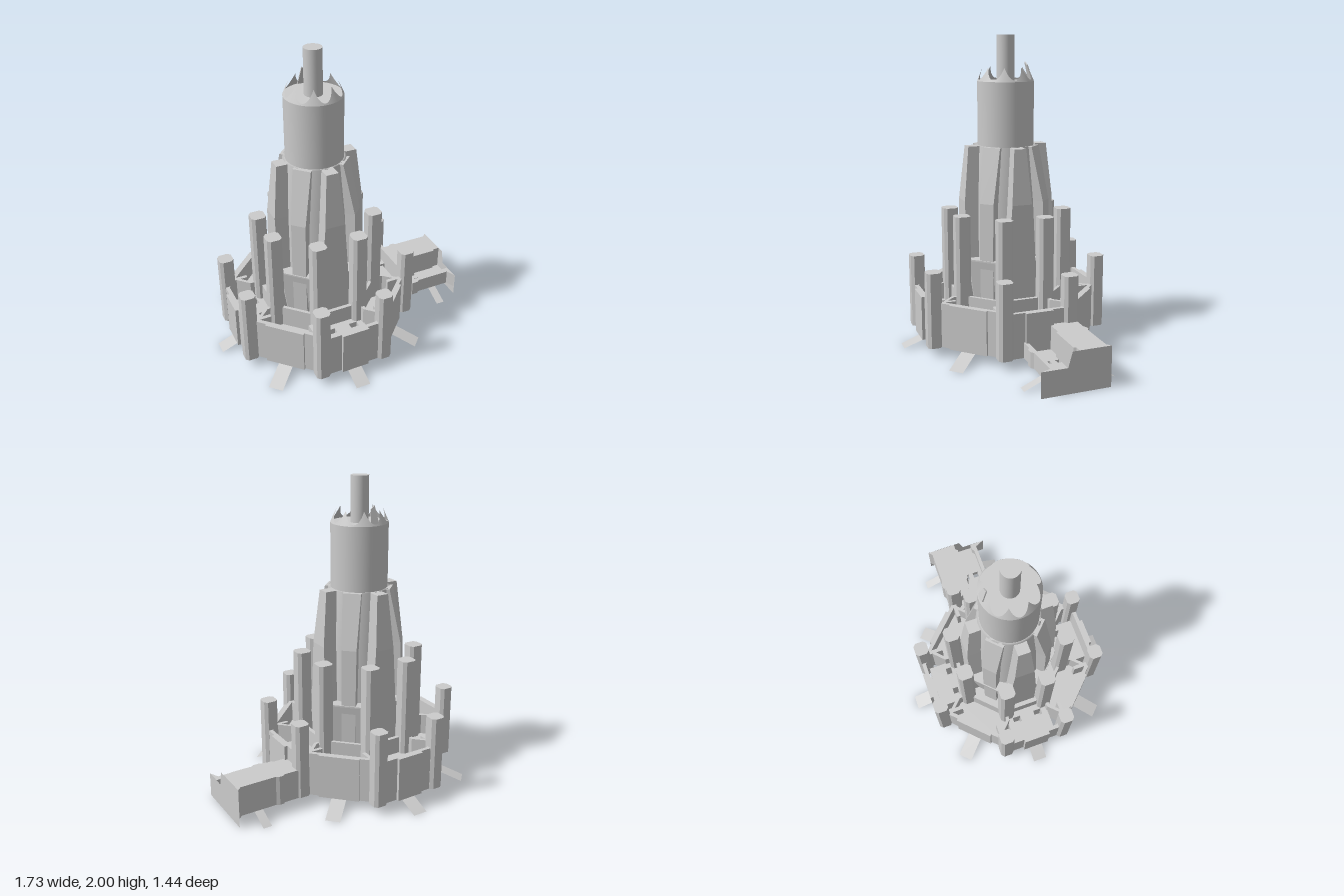
import * as THREE from 'three';

const mat = new THREE.MeshStandardMaterial({ color: 0xcccccc, side: THREE.DoubleSide });
const flat = new THREE.MeshStandardMaterial({ color: 0xcccccc, side: THREE.DoubleSide, flatShading: true });
const rad = THREE.MathUtils.degToRad;

function add(parent, name, geo, x = 0, y = 0, z = 0, m = flat) {
  const mesh = new THREE.Mesh(geo, m);
  mesh.name = name;
  mesh.position.set(x, y, z);
  parent.add(mesh);
  return mesh;
}

const toPoints = pts => pts.map(p => new THREE.Vector2(p[0], p[1]));

// Plan outline (x, -z) raised from y0 to y1, with optional holes
function prism(outline, y0, y1, holes = []) {
  const s = new THREE.Shape(toPoints(outline));
  holes.forEach(h => s.holes.push(new THREE.Path(toPoints(h))));
  const g = new THREE.ExtrudeGeometry(s, { depth: y1 - y0, bevelEnabled: false });
  return g.rotateX(-Math.PI / 2).translate(0, y0, 0);
}

const rect = (x0, x1, y0, y1) => [[x0, y0], [x1, y0], [x1, y1], [x0, y1]];

// Square with chamfered corners
function chamfered(h, c) {
  return [[h, -c], [h, c], [c, h], [-c, h], [-h, c], [-h, -c], [-c, -h], [c, -h]];
}

// Octagon with flats facing the axes
function octagon(apothem) {
  const t = apothem * Math.tan(Math.PI / 8);
  return chamfered(apothem, t);
}

// Radial fin along +z lofted through [y, half width, reach] sections
function finGeometry(levels, inner) {
  const pos = [], idx = [];
  for (const [y, half, out] of levels)
    pos.push(-half, y, inner, -half, y, out, half, y, out, half, y, inner);
  const last = (levels.length - 1) * 4;
  for (let l = 0; l < last; l += 4) for (let i = 0; i < 4; i++) {
    const a = l + i, b = l + (i + 1) % 4;
    idx.push(a, b, b + 4, a, b + 4, a + 4);
  }
  idx.push(0, 2, 1, 0, 3, 2, last, last + 1, last + 2, last, last + 2, last + 3);
  const g = new THREE.BufferGeometry();
  g.setAttribute('position', new THREE.Float32BufferAttribute(pos, 3));
  g.setIndex(idx);
  g.computeVertexNormals();
  return g;
}

// Eight pointed teeth leaning inward
function crownGeometry() {
  const g = new THREE.CylinderGeometry(0.183, 0.183, 0.1, 128, 4, true);
  const p = g.attributes.position;
  for (let i = 0; i < p.count; i++) {
    const t = p.getY(i) / 0.1 + 0.5;
    const a = Math.atan2(p.getX(i), p.getZ(i));
    const u = ((a / (Math.PI / 4)) % 1 + 1) % 1;
    const s = 1 - Math.abs(u - 0.5) * 2;
    const h = t * (0.01 + 0.078 * s * s);
    const r = 0.183 - h * 0.43;
    p.setXYZ(i, r * Math.sin(a), h, r * Math.cos(a));
  }
  g.computeVertexNormals();
  return g;
}

// Thin sloping foot plate pointing along +z
function foot(parent, name, width, r0, r1, angle, x = 0) {
  const len = Math.hypot(r1 - r0, 0.065);
  const g = new THREE.PlaneGeometry(width, len).rotateX(-Math.PI / 2)
    .rotateX(Math.atan2(0.065, r1 - r0)).translate(0, 0.0325, (r0 + r1) / 2).rotateY(angle);
  add(parent, name, g, x);
}

function createTower() {
  const tower = new THREE.Group();
  tower.name = 'tower';

  // Tapering core with a narrow ledge under the drum
  const core = [[0.24, 0.56], [0.222, 0.95], [0.198, 1.3], [0.18, 1.3]];
  add(tower, 'core', new THREE.LatheGeometry(toPoints(core), 64), 0, 0, 0, mat);

  // Octagonal base narrowing downward, open underneath
  const side = Math.cos(Math.PI / 8);
  const base = new THREE.CylinderGeometry(0.3 / side, 0.225 / side, 0.52, 8, 1, true).rotateY(Math.PI / 8);
  add(tower, 'base', base, 0, 0.32, 0);
  add(tower, 'baseLedge', prism(octagon(0.3), 0.57, 0.58, [octagon(0.2)]));

  // Four axial fins with upright panels below, four diagonal pillars
  const fin = finGeometry([[0.57, 0.092, 0.303], [0.95, 0.066, 0.303], [1.3, 0.04, 0.268]], 0.17);
  const panel = prism(rect(-0.095, 0.095, 0.24, 0.302), 0.06, 0.58);
  const pillar = finGeometry([[0.2, 0.046, 0.285], [0.58, 0.046, 0.293], [0.95, 0.048, 0.285],
    [1.3, 0.059, 0.21]], 0.17);
  for (let i = 0; i < 4; i++) {
    add(tower, 'fin', fin).rotation.y = rad(90 * i);
    add(tower, 'lowerPanel', panel).rotation.y = rad(90 * i);
    add(tower, 'diagonalPillar', pillar).rotation.y = rad(45 + 90 * i);
  }

  // Upper drum, crown and mast
  add(tower, 'drum', new THREE.CylinderGeometry(0.183, 0.183, 0.42, 64), 0, 1.5, 0, mat);
  add(tower, 'crown', crownGeometry(), 0, 1.71, 0, mat);
  add(tower, 'mast', new THREE.CylinderGeometry(0.057, 0.057, 0.29, 32), 0, 1.855, 0, mat);
  const blade = new THREE.Shape(toPoints([[-0.03, 0], [0.03, 0], [0.015, 0.1], [-0.015, 0.12]]));
  const bladeGeometry = new THREE.ExtrudeGeometry(blade, { depth: 0.008, bevelEnabled: false });
  add(tower, 'crownBlade', bladeGeometry, 0, 1.715, -0.176).rotation.x = 0.28;
  return tower;
}

function createRing() {
  const ring = new THREE.Group();
  ring.name = 'ring';

  // Inner court floor between the tower and the bays
  add(ring, 'courtFloor', prism(octagon(0.39), 0.2, 0.21, [octagon(0.22)]));

  // Straight bays: stepped outer wall, floor pad and raised platform
  const mainWall = prism([[0.24, 0.42], [0.24, 0.54], [0.17, 0.59], [0.09, 0.59], [0.09, 0.61],
    [-0.09, 0.61], [-0.09, 0.59], [-0.17, 0.59], [-0.24, 0.54], [-0.24, 0.42], [-0.215, 0.42],
    [-0.215, 0.525], [-0.155, 0.565], [0.155, 0.565], [0.215, 0.525], [0.215, 0.42]], 0.06, 0.35);
  const mainFloor = prism([[-0.11, 0.36], [0.11, 0.36], [0.16, 0.41], [0.16, 0.53], [0.12, 0.57],
    [-0.12, 0.57], [-0.16, 0.53], [-0.16, 0.41]], 0.06, 0.08);
  const platform = prism(rect(-0.147, 0.147, 0.34, 0.55), 0.08, 0.24,
    [rect(-0.105, -0.05, 0.4, 0.44), rect(0.05, 0.105, 0.4, 0.44)]);
  const innerWall = prism(rect(-0.12, 0.12, 0.335, 0.36), 0.06, 0.35);

  // Diagonal bays
  const diagInside = [[-0.14, 0.36], [0.14, 0.36], [0.18, 0.41], [0.18, 0.52], [-0.18, 0.52], [-0.18, 0.41]];
  const diagWall = prism([[-0.15, 0.34], [0.15, 0.34], [0.2, 0.4], [0.2, 0.545], [0.13, 0.545], [0.13, 0.56],
    [-0.13, 0.56], [-0.13, 0.545], [-0.2, 0.545], [-0.2, 0.4]], 0.06, 0.35, [diagInside]);
  const diagFloor = prism([[-0.1, 0.36], [0.1, 0.36], [0.14, 0.4], [0.14, 0.5], [0.12, 0.525],
    [-0.12, 0.525], [-0.14, 0.5], [-0.14, 0.4]], 0.06, 0.08);
  const diagPlatform = prism(diagInside, 0.2, 0.21);

  // Turrets
  const outerTurret = prism(chamfered(0.047, 0.028), 0.06, 0.55);
  const innerTurret = prism(chamfered(0.049, 0.03), 0.06, 0.875);

  for (let i = 0; i < 4; i++) {
    const side = new THREE.Group();
    side.name = 'ringQuarter';
    side.rotation.y = rad(90 * i);
    add(side, 'bayWall', mainWall);
    add(side, 'bayFloor', mainFloor);
    add(side, 'bayPlatform', platform);
    add(side, 'bayInnerWall', innerWall);
    for (const s of [-1, 1]) {
      add(side, 'outerTurret', outerTurret, s * 0.213, 0, -0.563);
      add(side, 'innerTurret', innerTurret, s * 0.137, 0, -0.348);
    }
    const diagonal = new THREE.Group();
    diagonal.name = 'diagonalBay';
    diagonal.rotation.y = rad(45);
    add(diagonal, 'diagonalWall', diagWall);
    add(diagonal, 'diagonalFloor', diagFloor);
    add(diagonal, 'diagonalPlatform', diagPlatform);
    side.add(diagonal);
    ring.add(side);
  }

  // Feet all around except where the arm joins
  for (let i = 0; i < 8; i++)
    if (i !== 2) foot(ring, 'foot', 0.095, 0.54, i === 6 ? 0.706 : 0.72, rad(45 * i));
  return ring;
}

function createArm() {
  const arm = new THREE.Group();
  arm.name = 'arm';
  // High platform with notched edges, and low walled walkway
  const high = [[0.34, 0.07], [0.56, 0.07], [0.57, 0.055], [0.81, 0.055], [0.82, 0.07], [0.862, 0.07],
    [0.862, 0.275], [0.835, 0.25], [0.6, 0.25], [0.58, 0.262], [0.555, 0.262], [0.54, 0.25], [0.34, 0.25]];
  add(arm, 'highPlatform', prism(high, 0.06, 0.255));
  add(arm, 'walkway', prism(rect(0.4, 0.862, -0.08, 0.07), 0.06, 0.1,
    [rect(0.613, 0.652, 0.03, 0.07), rect(0.613, 0.652, -0.045, -0.005)]));
  const parapet = [[0.4, -0.1], [0.52, -0.1], [0.54, -0.115], [0.58, -0.115], [0.6, -0.1], [0.835, -0.1],
    [0.862, -0.16], [0.862, -0.06], [0.82, -0.06], [0.8, -0.075], [0.4, -0.075]];
  add(arm, 'parapet', prism(parapet, 0.06, 0.16));

  // End plate reaching the ground
  const end = new THREE.Shape(toPoints([[-0.165, 0], [0.275, 0], [0.275, 0.255], [0.027, 0.255],
    [0, 0.16], [-0.165, 0.16]]));
  add(arm, 'endPlate', new THREE.ShapeGeometry(end).rotateY(Math.PI / 2), 0.863);

  foot(arm, 'armFoot', 0.057, 0.07, 0.22, 0, 0.717);
  foot(arm, 'armFoot', 0.057, 0.21, 0.36, Math.PI, 0.717);
  return arm;
}

export function createModel() {
  const model = new THREE.Group();
  model.name = 'fortressTower';
  const keep = new THREE.Group();
  keep.name = 'keep';
  keep.position.x = -0.157;
  keep.add(createTower(), createRing());
  model.add(keep, createArm());
  return model;
}
